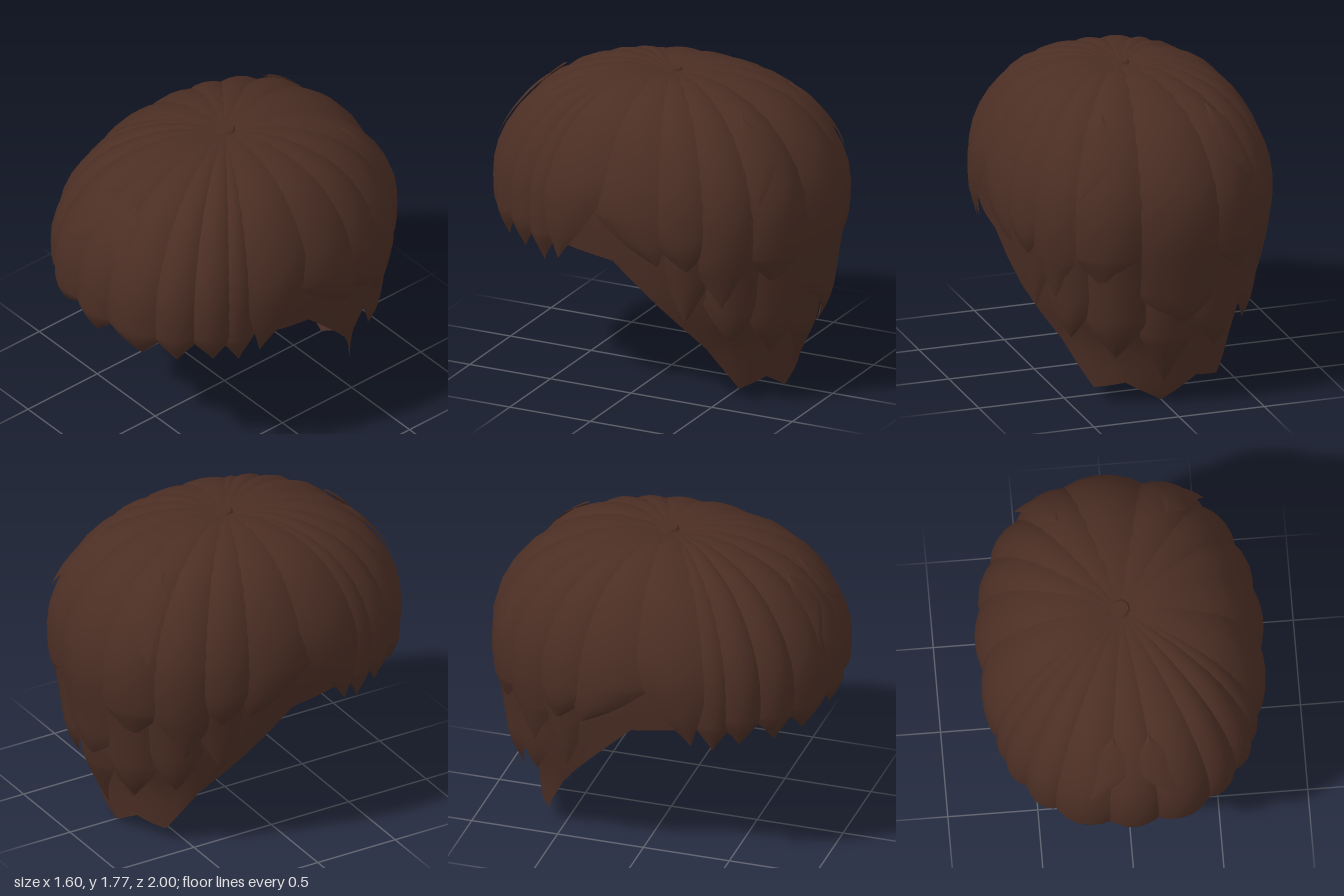
import * as THREE from 'three';

const V = (x, y) => new THREE.Vector2(x, y);

// Meridian profiles: (fraction of the footprint radius, height), crown to nape
const OUTER = new THREE.SplineCurve([V(0.04, 1.75), V(0.33, 1.765), V(0.66, 1.66), V(0.87, 1.47), V(0.985, 1.24),
  V(1, 1.0), V(0.965, 0.8), V(0.92, 0.5), V(0.86, 0.3), V(0.79, 0.1)]);
const INNER = new THREE.SplineCurve([V(0, 1.72), V(0.33, 1.73), V(0.63, 1.61), V(0.82, 1.43), V(0.925, 1.2),
  V(0.925, 0.95), V(0.85, 0.6), V(0.75, 0.34), V(0.72, 0.1), V(0.7, 0)]);

// Rounded oval footprint seen from above; azimuth 0 is the front, +PI/2 is +x
function footprint(az) {
  const n = 2.3;
  return Math.pow(Math.pow(Math.abs(Math.sin(az)) / 0.8, n) + Math.pow(Math.abs(Math.cos(az)), n), -1 / n);
}

// Curve parameter at which a profile comes down to height y
function paramAt(curve, y) {
  let lo = 0.12, hi = 1;
  for (let i = 0; i < 30; i++) {
    const mid = (lo + hi) / 2;
    if (curve.getPoint(mid).y > y) lo = mid; else hi = mid;
  }
  return hi;
}

// Grid surface from a rule (row, column) -> [x, y, z]
function sheet(rows, cols, rule) {
  const pos = [], idx = [];
  for (let i = 0; i <= rows; i++) for (let j = 0; j <= cols; j++) pos.push(...rule(i, j));
  for (let i = 0; i < rows; i++) for (let j = 0; j < cols; j++) {
    const a = i * (cols + 1) + j, b = a + cols + 1;
    idx.push(a, b, a + 1, b, b + 1, a + 1);
  }
  const g = new THREE.BufferGeometry();
  g.setAttribute('position', new THREE.Float32BufferAttribute(pos, 3));
  g.setIndex(idx);
  g.computeVertexNormals();
  return g;
}

// One lock of hair: a bowed strip over the head that narrows to a point
function lockGeometry({ az, half, tip, taper = 0.17, drift = 0, lift = 0, from = 0, curl = 0.04, bow = 0.06 }) {
  const rows = 20, cols = 6;
  const t1 = paramAt(OUTER, tip), tTaper = paramAt(OUTER, tip + taper);
  const body = 12;
  return sheet(rows, cols, (i, j) => {
    const t = i <= body ? from + (tTaper - from) * i / body
      : tTaper + (t1 - tTaper) * (i - body) / (rows - body);
    const k = Math.max(0, (i - body) / (rows - body));
    const u = (j / cols) * 2 - 1;
    // a lock that starts below the crown opens from a point
    const open = from > 0 ? Math.min(1, i / 5) : 1;
    const a = az + drift * k + u * half * (1 - k) * open;
    const p = OUTER.getPoint(t);
    const spread = Math.min(1, p.x * 1.5);
    const r = footprint(a) * p.x * (1 - curl * k * k) + (lift - bow * u * u * (1 - k)) * spread;
    const dy = (lift - bow * 0.5 * u * u) * (1 - p.x) * spread;
    return [Math.sin(a) * r, p.y + dy, Math.cos(a) * r];
  });
}

export function createModel() {
  const group = new THREE.Group();
  const brown = new THREE.MeshStandardMaterial({ color: 0x4b2e24, side: THREE.DoubleSide });
  brown.name = 'dark brown hair';
  const add = (name, geometry) => {
    const m = new THREE.Mesh(geometry, brown);
    m.name = name;
    group.add(m);
  };

  // Inner cap: its hem runs from the forehead past the ears to a jagged nape (azimuth, height)
  const hem = [[0, 1.15], [0.8, 1.05], [1.17, 0.9], [1.57, 0.86], [2.32, 0.34], [2.6, 0.08], [2.85, 0.12], [Math.PI, 0]];
  const half = [];
  for (let i = 0; i < hem.length - 1; i++) for (let k = 0; k < 4; k++) {
    const f = k / 4;
    half.push([hem[i][0] + (hem[i + 1][0] - hem[i][0]) * f, hem[i][1] + (hem[i + 1][1] - hem[i][1]) * f]);
  }
  half.push(hem[hem.length - 1]);
  const loop = [...half.slice(1).reverse().map(([a, y]) => [-a, y]), ...half];
  const ends = loop.map(([, y]) => paramAt(INNER, y));
  add('innerCap', sheet(18, loop.length - 1, (i, j) => {
    const a = loop[j][0], p = INNER.getPoint(ends[j] * i / 18), r = footprint(a) * p.x;
    return [Math.sin(a) * r, p.y, Math.cos(a) * r];
  }));

  // Locks on the centre line
  add('fringeCentre', lockGeometry({ az: 0, half: 0.19, tip: 0.81, lift: -0.005, curl: 0.05 }));
  add('napeCentre', lockGeometry({ az: Math.PI, half: 0.2, tip: 0.13, taper: 0.3, lift: -0.02 }));
  add('backPanel', lockGeometry({ az: Math.PI + 0.06, half: 0.3, tip: 0.5, taper: 0.2, lift: 0.005 }));

  // Mirrored locks
  const pairs = [
    ['fringe', { az: 0.31, half: 0.22, tip: 0.81, drift: 0.04, curl: 0.05 }],
    ['fringe', { az: 0.575, half: 0.16, tip: 0.81 }],
    ['fringe', { az: 0.8, half: 0.16, tip: 0.81 }],
    ['fringe', { az: 0.97, half: 0.14, tip: 0.77, lift: -0.01 }],
    ['temple', { az: 1.3, half: 0.32, tip: 0.81, taper: 0.52, drift: -0.18, lift: 0.005, bow: 0.045 }],
    ['side', { az: 1.72, half: 0.32, tip: 0.87, taper: 0.28, drift: 0.22, lift: 0.003, bow: 0.05 }],
    ['sideBack', { az: 2.08, half: 0.24, tip: 0.84, taper: 0.22, drift: 0.06 }],
    ['lowerSide', { az: 2.14, half: 0.22, tip: 0.53, taper: 0.3, lift: -0.03 }],
    ['backUpper', { az: 2.38, half: 0.22, tip: 0.62, taper: 0.25, lift: 0 }],
    ['backUpper', { az: 2.72, half: 0.24, tip: 0.72, taper: 0.2, lift: 0.002 }],
    ['backLower', { az: 2.46, half: 0.2, tip: 0.4, taper: 0.25, lift: -0.02 }],
    ['backLower', { az: 2.78, half: 0.22, tip: 0.3, taper: 0.25, lift: -0.015 }],
    // short loose locks above the fringe and at the back of the crown
    ['looseFront', { az: 0.14, half: 0.09, tip: 1.3, taper: 0.16, drift: 0.12, from: 0.24, lift: 0.012, curl: 0, bow: 0.01 }],
    ['looseBack', { az: 2.66, half: 0.1, tip: 1.25, taper: 0.2, drift: -0.1, from: 0.22, lift: 0.014, curl: 0, bow: 0.01 }],
  ];
  pairs.forEach(([name, o]) => {
    add(name + 'LockLeft', lockGeometry(o));
    add(name + 'LockRight', lockGeometry({ ...o, az: -o.az, drift: -(o.drift || 0) }));
  });

  // Small whorl at the crown
  const whorl = new THREE.CylinderGeometry(0.045, 0.07, 0.03, 9);
  whorl.translate(0, 1.75, -0.01);
  add('crownWhorl', whorl);

  return group;
}
